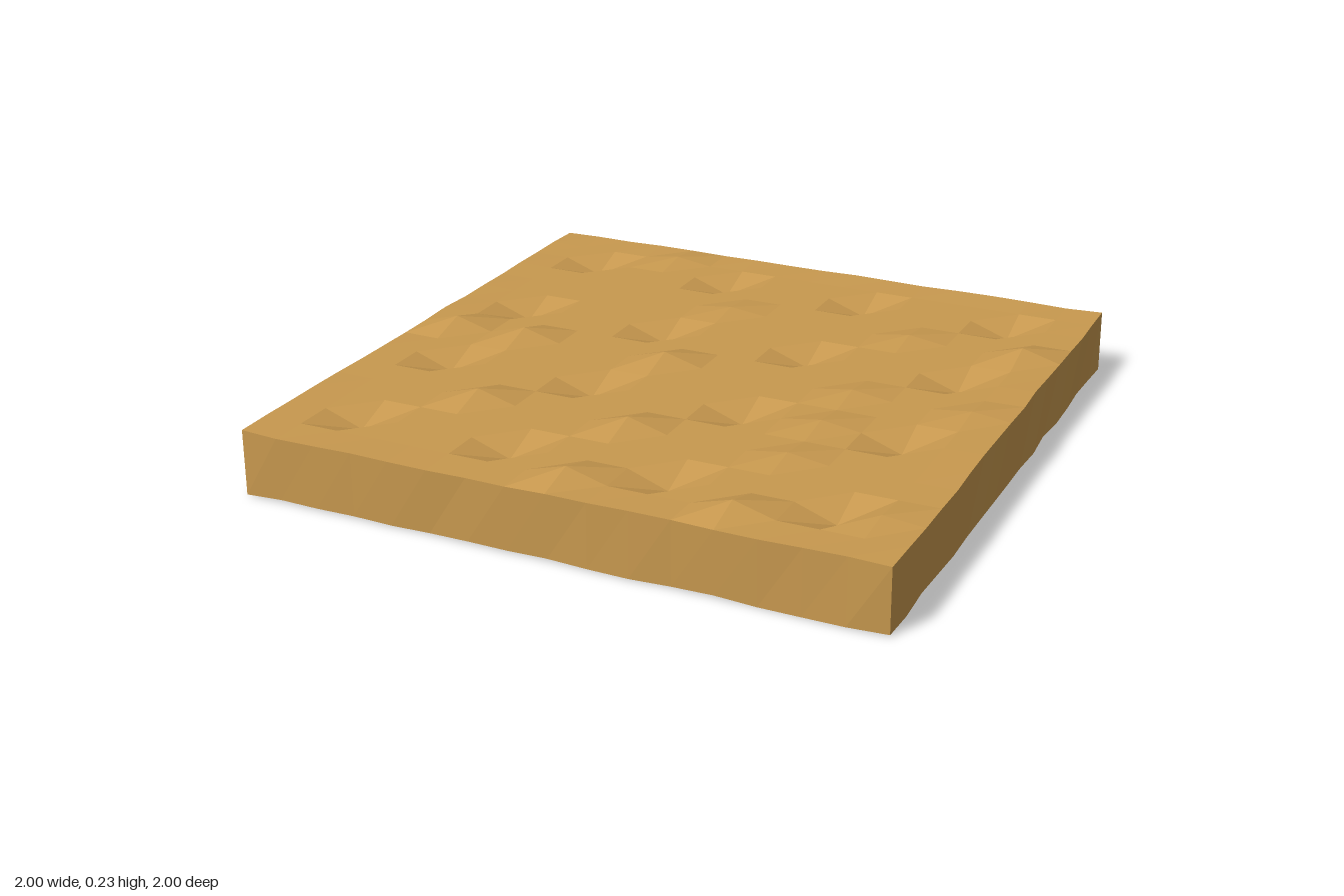
import * as THREE from 'three';

const CELLS = 16;
const HEIGHT = 0.2;
const DENT = -0.045;

// Raised grid points: x, z, rise
const BUMPS = [
  [0.875, -0.5, 0.035], [-0.875, 0, 0.035], [-0.625, 0, 0.035], [-0.125, 0, 0.035],
  [-0.5, 0.5, 0.035], [0, 0.5, 0.035], [0, 0.875, 0.035], [0.5, 0.875, 0.035],
  [0.5, -0.5, 0.018], [-0.125, -0.5, 0.015], [0.5, 0, 0.018], [0.5, 0.25, 0.018],
  [0.5, 0.5, 0.018], [-0.5, -0.875, 0.018], [0.875, 0, 0.015], [0.875, 0.75, 0.012],
];

// Small repeatable wobble in 0..1 from a position
function wobble(a, b, c) {
  const s = Math.sin(a * 12.99 + b * 78.23 + c * 37.72) * 4375.85;
  return s - Math.floor(s);
}

// Height offset of a top grid point: regular dents plus scattered bumps
function relief(x, z) {
  const onDent = (v) => Math.abs(Math.abs(Math.abs(v) - 0.5) - 0.25) < 0.01;
  if (onDent(x) && onDent(z)) return DENT;
  const bump = BUMPS.find(([bx, bz]) => Math.hypot(bx - x, bz - z) < 0.01);
  return bump ? bump[2] : 0;
}

export function createModel() {
  const group = new THREE.Group();
  group.name = 'groundTile';

  // Gridded slab; the same rule moves coincident points, so seams stay closed
  const geometry = new THREE.BoxGeometry(2, HEIGHT, 2, CELLS, 1, CELLS);
  geometry.translate(0, HEIGHT / 2, 0);
  const p = geometry.attributes.position;
  for (let i = 0; i < p.count; i++) {
    const x = p.getX(i), y = p.getY(i), z = p.getZ(i);
    const top = y > HEIGHT / 2;
    const reach = Math.max(Math.abs(x), Math.abs(z));
    const rim = reach > 0.99;

    // Worn rim, pulled slightly inward
    if (rim && Math.abs(x) > 0.99) p.setX(i, x * (1 - 0.007 * wobble(1, y, z)));
    if (rim && Math.abs(z) > 0.99) p.setZ(i, z * (1 - 0.007 * wobble(x, y, 2)));

    if (top) {
      p.setY(i, HEIGHT + (rim ? 0.004 * wobble(x, 3, z) : relief(x, z)));
    } else {
      // Underside ripples fan out from the centre to the rim
      const k = reach > 0 ? 1 / reach : 0;
      p.setY(i, 0.007 * reach * wobble(x * k, 5, z * k));
    }
  }

  const flat = geometry.toNonIndexed();
  flat.computeVertexNormals();
  const slab = new THREE.Mesh(
    flat,
    new THREE.MeshStandardMaterial({ color: 0xc8994f, flatShading: true })
  );
  slab.name = 'sandSlab';
  group.add(slab);
  return group;
}
